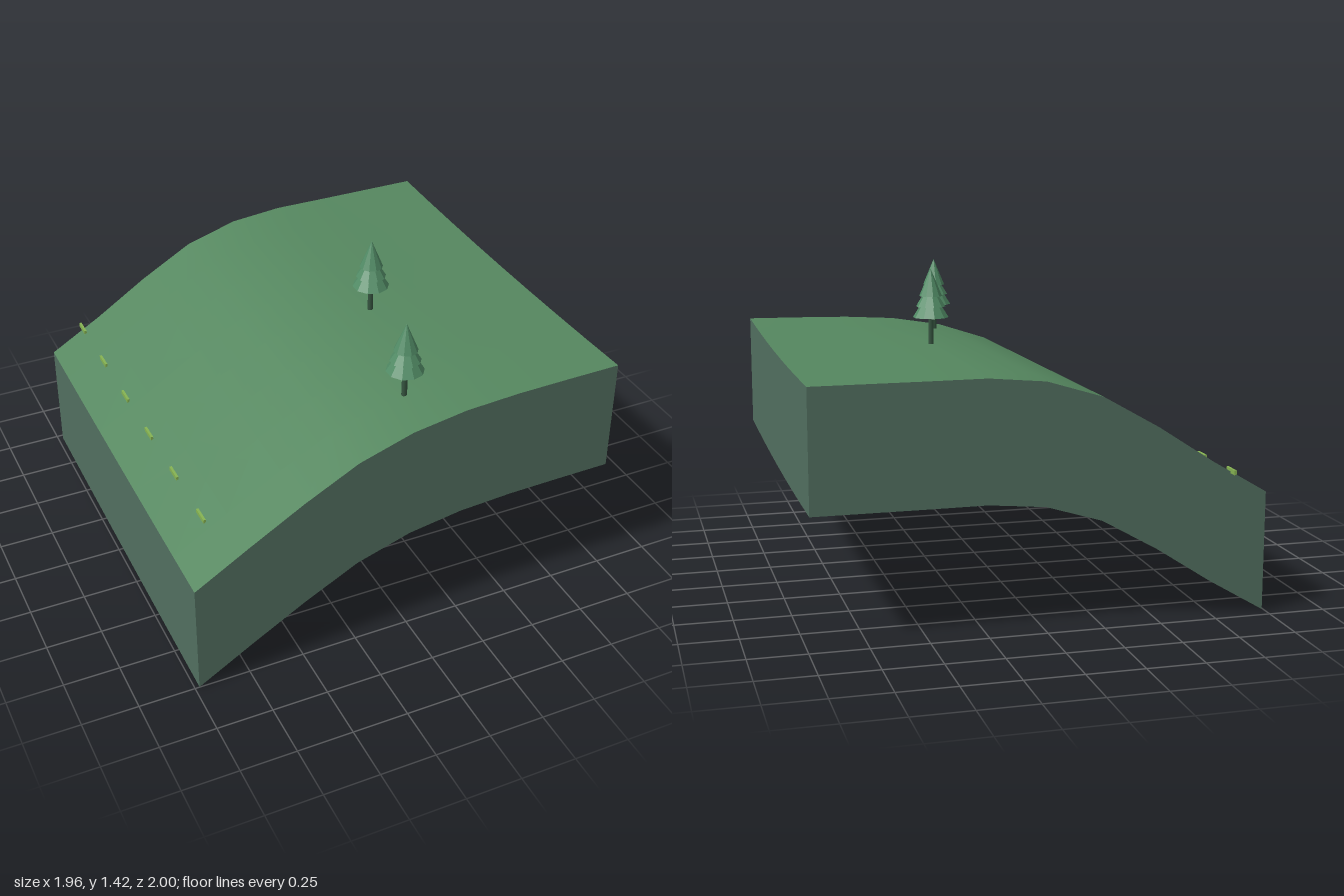
import * as THREE from 'three';

const mat = (name, color, extra = {}) => Object.assign(new THREE.MeshStandardMaterial({ color, ...extra }), { name });

const HALF = 0.98, ZC = 0.02, DEPTH = 0.525, N = 8;

// Height profiles from left (-x) to right (+x) at the front, middle and back
const FRONT = [0.525, 0.675, 0.82, 0.95, 1.03, 1.07, 1.085, 1.09, 1.093];
const MIDDLE = [0.525, 0.675, 0.83, 0.965, 1.043, 1.066, 1.066, 1.066, 1.068];
const BACK = [0.535, 0.68, 0.84, 0.98, 1.055, 1.078, 1.077, 1.077, 1.077];

function profile(p, x) {
  const u = THREE.MathUtils.clamp((x / HALF + 1) * N / 2, 0, N);
  const i = Math.min(Math.floor(u), N - 1);
  return THREE.MathUtils.lerp(p[i], p[i + 1], u - i);
}

// Quadratic blend of the three profiles along z
function height(x, z) {
  const t = THREE.MathUtils.clamp((z - ZC) / HALF, -1, 1);
  return profile(FRONT, x) * t * (t + 1) / 2 + profile(MIDDLE, x) * (1 - t * t) + profile(BACK, x) * t * (t - 1) / 2;
}

export function createModel() {
  const model = new THREE.Group();
  model.name = 'hillTile';
  const grass = mat('grass', 0x55875f, { side: THREE.DoubleSide });
  const earth = mat('earth', 0x527060, { side: THREE.DoubleSide });
  const foliage = mat('foliage', 0x528c66, { flatShading: true });
  const bark = mat('bark', 0x35533f);
  const marking = mat('marking', 0x86b352);

  const add = (parent, name, geometry, material, x = 0, y = 0, z = 0) => {
    const mesh = new THREE.Mesh(geometry, material);
    mesh.name = name;
    mesh.position.set(x, y, z);
    parent.add(mesh);
    return mesh;
  };

  // Rolling ground surface
  const ground = new THREE.PlaneGeometry(2 * HALF, 2 * HALF, N, N).rotateX(-Math.PI / 2).translate(0, 0, ZC);
  const gp = ground.attributes.position;
  for (let i = 0; i < gp.count; i++) gp.setY(i, height(gp.getX(i), gp.getZ(i)));
  ground.computeVertexNormals();
  add(model, 'ground', ground, grass);

  // Four skirt walls following the edge, open underneath
  const corners = [[-1, 1], [1, 1], [1, -1], [-1, -1]];
  ['frontWall', 'rightEdgeWall', 'backWall', 'leftEdgeWall'].forEach((name, k) => {
    const a = corners[k], b = corners[(k + 1) % 4];
    const wall = new THREE.PlaneGeometry(1, 1, N, 1);
    const p = wall.attributes.position;
    for (let i = 0; i < p.count; i++) {
      const t = p.getX(i) + 0.5;
      const x = HALF * THREE.MathUtils.lerp(a[0], b[0], t);
      const z = ZC + HALF * THREE.MathUtils.lerp(a[1], b[1], t);
      p.setXYZ(i, x, height(x, z) - (0.5 - p.getY(i)) * DEPTH, z);
    }
    wall.computeVertexNormals();
    add(model, name, wall, earth);
  });

  // Trees: thin trunk with three stacked tiers [bottom radius, top radius, bottom, top]
  const tiers = [[0.083, 0.042, 0.125, 0.19], [0.068, 0.03, 0.175, 0.235], [0.053, 0, 0.223, 0.35]];
  for (const [x, z] of [[0.08, 0.755], [0.243, 0.1]]) {
    const tree = new THREE.Group();
    tree.name = 'tree';
    tree.position.set(x, height(x, z), z);
    add(tree, 'trunk', new THREE.CylinderGeometry(0.012, 0.013, 0.15, 8), bark, 0, 0.065, 0);
    for (const [r0, r1, y0, y1] of tiers)
      add(tree, 'foliageTier', new THREE.CylinderGeometry(r1, r0, y1 - y0, 10), foliage, 0, (y0 + y1) / 2, 0);
    model.add(tree);
  }

  // Dashed row of thin markers along the lower slope
  for (let i = 0; i < 6; i++) {
    const z = -0.9575 + i * 0.3255;
    add(model, 'markerDash', new THREE.BoxGeometry(0.011, 0.02, 0.085), marking, -0.82, height(-0.82, z) + 0.005, z);
  }
  return model;
}
